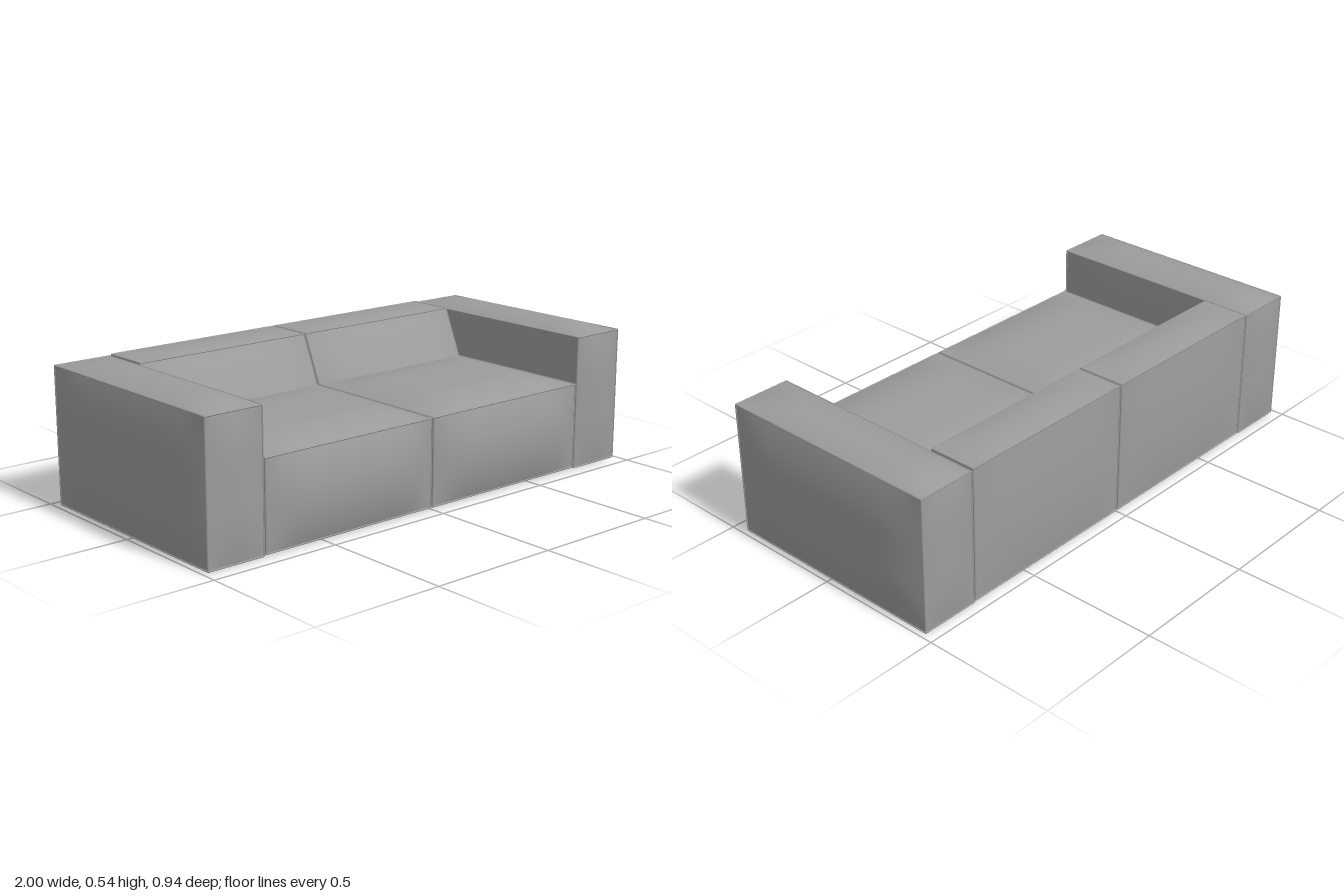
import * as THREE from 'three';
import { mergeGeometries } from 'three/addons/utils/BufferGeometryUtils.js';

const material = new THREE.MeshStandardMaterial({ color: 0x9c9c9c });
const PIPING = 0.003;

// Rises from 0 at an edge to 1 at distance r from it
function swell(pos, half, r) {
  const reach = Math.min(r, half);
  const t = Math.min((half - Math.abs(pos)) / reach, 1);
  return 1 - (1 - t) ** 2;
}

// Box between two corners whose faces puff out by bulge = [+x, -x, +y, -y, +z, -z]
function stuffedBox(min, max, bulge, r) {
  const size = max.map((v, i) => v - min[i]);
  const centre = max.map((v, i) => (v + min[i]) / 2);
  const geo = new THREE.BoxGeometry(...size, 24, 24, 24);
  const pos = geo.attributes.position;
  const nor = geo.attributes.normal;
  for (let i = 0; i < pos.count; i++) {
    const p = [pos.getX(i), pos.getY(i), pos.getZ(i)];
    const n = [nor.getX(i), nor.getY(i), nor.getZ(i)];
    const axis = n.findIndex((v) => Math.abs(v) > 0.5);
    const [a, b] = [0, 1, 2].filter((k) => k !== axis);
    const puff = bulge[axis * 2 + (n[axis] > 0 ? 0 : 1)];
    p[axis] += n[axis] * puff * swell(p[a], size[a] / 2, r) * swell(p[b], size[b] / 2, r);
    pos.setXYZ(i, ...p);
  }
  return geo.translate(...centre);
}

// Thin cord along all twelve edges of the box
function piping(min, max) {
  const cords = [];
  for (let axis = 0; axis < 3; axis++) {
    const [a, b] = [0, 1, 2].filter((k) => k !== axis);
    for (const u of [min[a], max[a]]) {
      for (const v of [min[b], max[b]]) {
        const start = [0, 0, 0];
        start[axis] = min[axis]; start[a] = u; start[b] = v;
        const end = [...start];
        end[axis] = max[axis];
        const line = new THREE.LineCurve3(new THREE.Vector3(...start), new THREE.Vector3(...end));
        cords.push(new THREE.TubeGeometry(line, 24, PIPING, 6));
      }
    }
  }
  // Round off the corners where cords meet
  for (const x of [min[0], max[0]]) for (const y of [min[1], max[1]]) for (const z of [min[2], max[2]]) {
    cords.push(new THREE.SphereGeometry(PIPING, 6, 4).translate(x, y, z));
  }
  return mergeGeometries(cords);
}

function cushion(name, min, max, bulge, r, warp) {
  const group = new THREE.Group();
  group.name = name;
  const parts = { upholstery: stuffedBox(min, max, bulge, r), piping: piping(min, max) };
  for (const [part, geo] of Object.entries(parts)) {
    if (warp) {
      const pos = geo.attributes.position;
      for (let i = 0; i < pos.count; i++) pos.setZ(i, warp(pos.getY(i), pos.getZ(i)));
    }
    geo.computeVertexNormals();
    const mesh = new THREE.Mesh(geo, material);
    mesh.name = part;
    group.add(mesh);
  }
  return group;
}

export function createModel() {
  const sofa = new THREE.Group();
  sofa.name = 'sofa';

  const rear = -0.457;
  const joint = -0.188;
  // Upright below the seat, then the front leans back to the top edge
  const lean = (y, z) => {
    const t = THREE.MathUtils.clamp((y - 0.33) / 0.195, 0, 1);
    return rear + (z - rear) * (1 - t * 0.31);
  };

  for (const [side, s] of [['left', 1], ['right', -1]]) {
    // Mirrors a part that spans two distances from the centre
    const add = (name, [inner, outer], [y0, y1], [z0, z1], bulge, r, warp) => {
      const [x0, x1] = s > 0 ? [inner, outer] : [-outer, -inner];
      const b = s > 0 ? bulge : [bulge[1], bulge[0], ...bulge.slice(2)];
      sofa.add(cushion(side + name, [x0, y0, z0], [x1, y1, z1], b, r, warp));
    };

    add('Arm', [0.754, 0.98], [0.008, 0.521], [rear, 0.44],
      [0.02, 0.002, 0.024, 0.005, 0.015, 0.013], 0.18);
    add('Seat', [0.005, 0.745], [0.012, 0.341], [joint, 0.44],
      [0.003, 0.003, 0.034, 0.003, 0.03, 0], 0.2);
    add('Backrest', [0.005, 0.745], [0.012, 0.526], [rear, joint],
      [0.003, 0.003, 0.009, 0.003, 0.042, 0.012], 0.22, lean);
  }
  return sofa;
}
